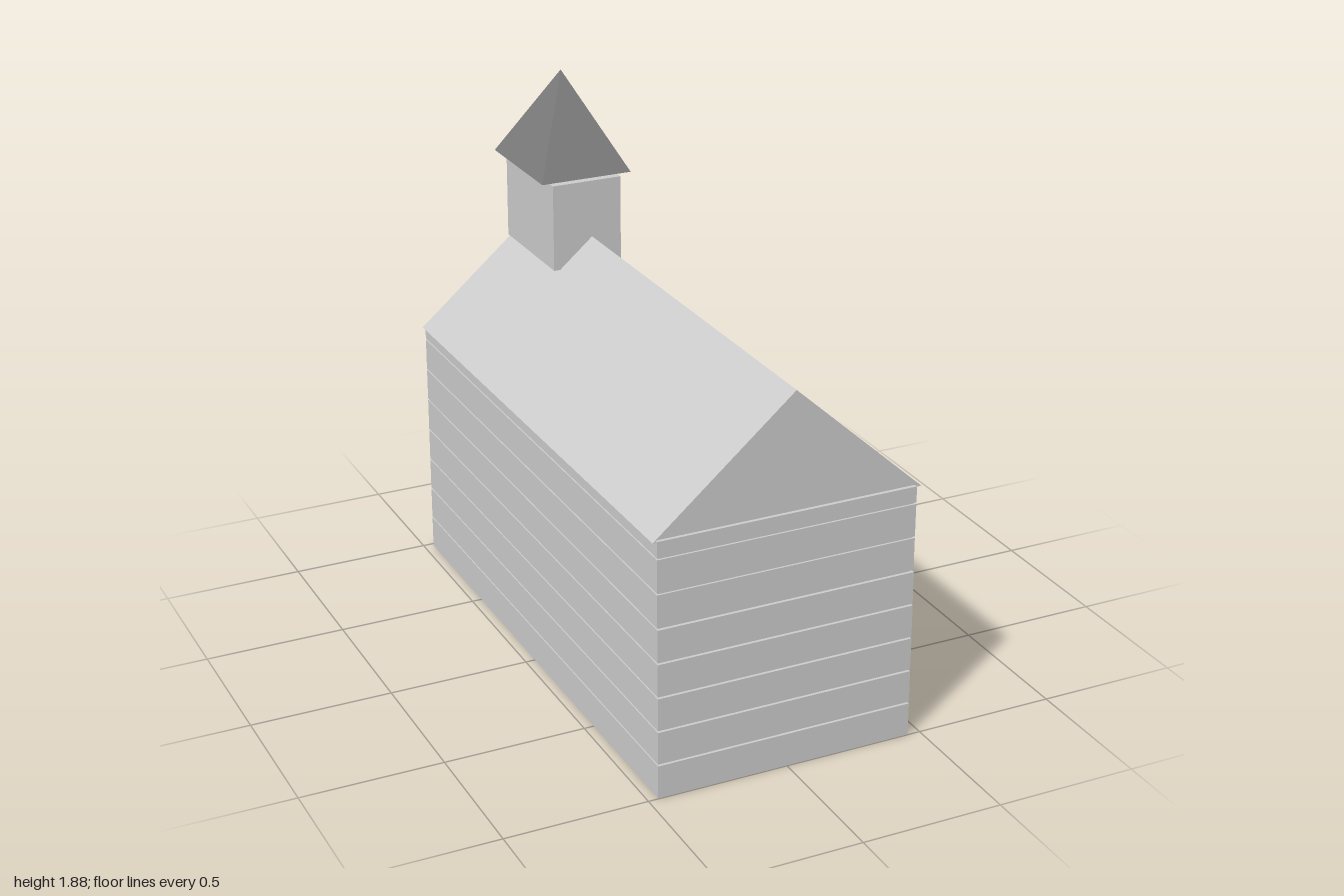
import * as THREE from 'three';

const grey = new THREE.MeshStandardMaterial({ color: 0xcccccc, flatShading: true });
const dark = new THREE.MeshStandardMaterial({ color: 0x7c7c7c, flatShading: true });
const olive = new THREE.MeshStandardMaterial({ color: 0xb8b098, flatShading: true });

// Box given by its lower and upper bounds on each axis
function box(name, [x0, x1], [y0, y1], [z0, z1], material) {
  const mesh = new THREE.Mesh(new THREE.BoxGeometry(x1 - x0, y1 - y0, z1 - z0), material);
  mesh.position.set((x0 + x1) / 2, (y0 + y1) / 2, (z0 + z1) / 2);
  mesh.name = name;
  return mesh;
}

export function createModel() {
  const church = new THREE.Group();
  church.name = 'church';

  // Walls: stacked boards with thin grooves around a recessed core
  const walls = new THREE.Group();
  walls.name = 'walls';
  walls.add(box('wallCore', [-0.458, 0.448], [0.002, 0.9], [-0.978, 0.983], grey));
  const pitch = 0.1215, wallTop = 0.91;
  for (let i = 0; i < 8; i++) {
    const y0 = i * pitch + (i ? 0.003 : 0);
    const y1 = Math.min((i + 1) * pitch - 0.003, wallTop);
    const front = i < 5 ? 0.998 - i * 0.001 : 0.99;
    walls.add(box('wallBoard', [-0.465, 0.455], [y0, y1], [-0.985, front], grey));
  }
  church.add(walls);

  // Gabled roof: solid triangular prism, very slightly skewed
  const gable = new THREE.Shape([
    new THREE.Vector2(-0.477, 0.902),
    new THREE.Vector2(0.477, 0.902),
    new THREE.Vector2(0.014, 1.322),
  ]);
  const roofGeometry = new THREE.ExtrudeGeometry(gable, { depth: 1.955, bevelEnabled: false });
  roofGeometry.translate(0, 0, -0.9775);
  const roof = new THREE.Mesh(roofGeometry, grey);
  roof.name = 'roof';
  roof.rotation.y = 0.002;
  church.add(roof);

  // Bell tower at the back
  church.add(box('tower', [-0.135, 0.125], [1.215, 1.53], [-0.967, -0.545], grey));

  // Four-sided spire, floating just above the tower
  const spireGeometry = new THREE.ConeGeometry(Math.SQRT1_2, 1, 4);
  spireGeometry.rotateY(Math.PI / 4);
  spireGeometry.scale(0.34, 0.338, 0.436);
  const spire = new THREE.Mesh(spireGeometry, dark);
  spire.name = 'spire';
  spire.position.set(-0.004, 1.709, -0.765);
  church.add(spire);

  // Back door
  church.add(box('door', [-0.13, 0.1], [0.005, 0.385], [-1, -0.98], olive));

  return church;
}
